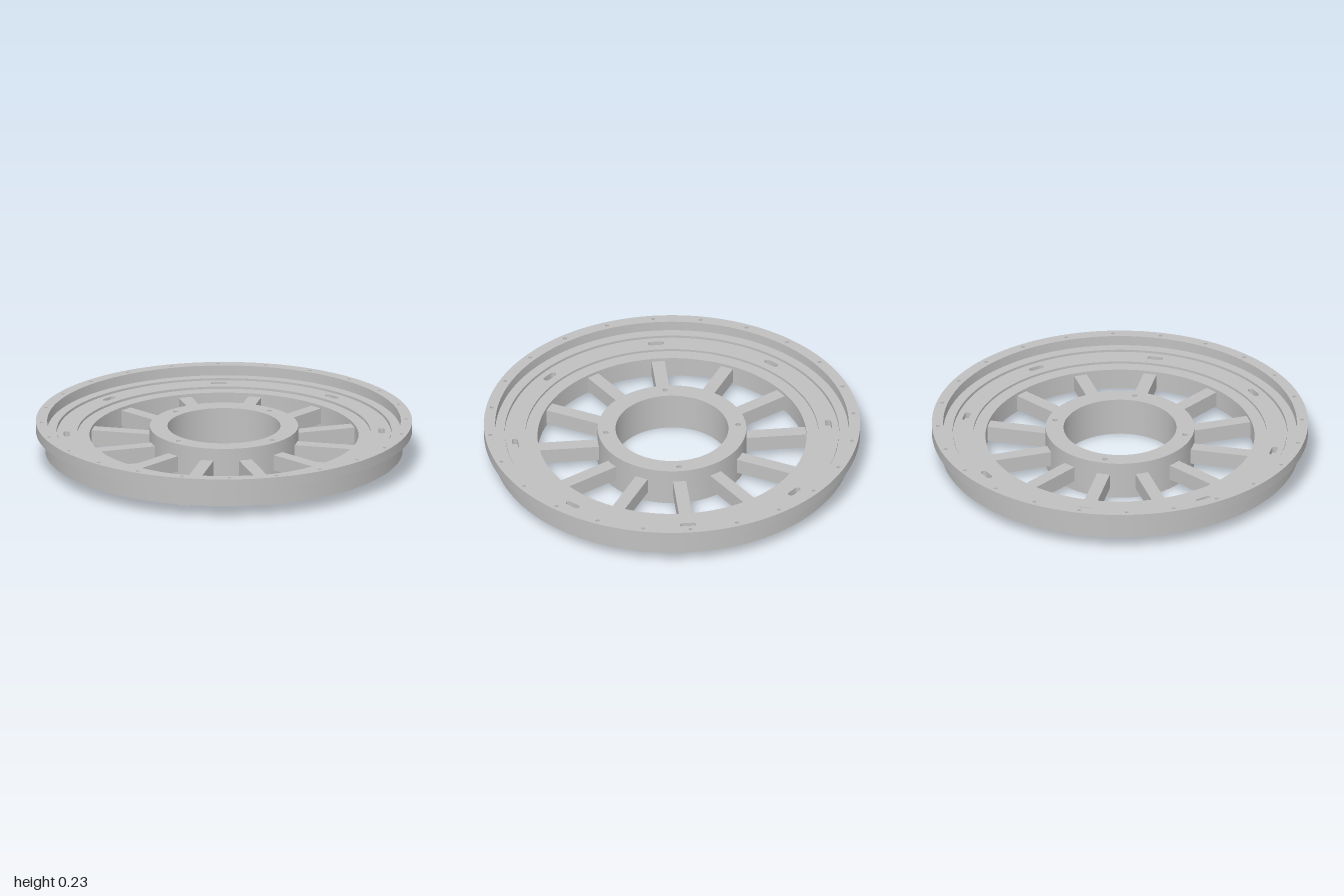
import * as THREE from 'three';
import { toCreasedNormals } from 'three/addons/utils/BufferGeometryUtils.js';

const metal = new THREE.MeshStandardMaterial({ color: 0xc0c0c0 });
metal.name = 'light grey metal';

// Closed outline of a circle
function circle(r, n = 128, cx = 0, cy = 0) {
  return Array.from({ length: n }, (_, i) => {
    const a = (i / n) * Math.PI * 2;
    return new THREE.Vector2(cx + r * Math.cos(a), cy + r * Math.sin(a));
  });
}

// Rounded slot, long side tangential, centred at radius r and angle a
function slot(r, a, halfLength, halfWidth) {
  const pts = [];
  for (const side of [1, -1]) {
    for (let i = 0; i <= 8; i++) {
      const t = (i / 8) * Math.PI + (side < 0 ? Math.PI : 0);
      pts.push(new THREE.Vector2(
        r + halfWidth * Math.cos(t),
        side * (halfLength - halfWidth) + halfWidth * Math.sin(t)
      ).rotateAround(new THREE.Vector2(), a));
    }
  }
  return pts;
}

// Flat ring between two heights, with optional extra openings
function ring(name, inner, outer, y0, y1, openings = []) {
  const shape = new THREE.Shape(circle(outer));
  shape.holes = [circle(inner), ...openings].map((pts) => new THREE.Path(pts));
  let geo = new THREE.ExtrudeGeometry(shape, { depth: y1 - y0, bevelEnabled: false });
  geo.rotateX(-Math.PI / 2);
  geo.translate(0, y0, 0);
  geo = toCreasedNormals(geo, 0.6);
  const mesh = new THREE.Mesh(geo, metal);
  mesh.name = name;
  return mesh;
}

// Round holes evenly spaced on a bolt circle
function boltHoles(count, r, holeRadius) {
  return Array.from({ length: count }, (_, i) => {
    const a = (i / count) * Math.PI * 2;
    return circle(holeRadius, 16, r * Math.cos(a), r * Math.sin(a));
  });
}

export function createModel() {
  const model = new THREE.Group();
  model.name = 'spokedWheelPlate';

  // Outer rim: drilled flange over a plain wall
  model.add(ring('rimFlange', 0.94, 1, 0.18, 0.235, boltHoles(24, 0.97, 0.01)));
  model.add(ring('rimWall', 0.89, 0.95, 0.07, 0.18));
  model.add(ring('grooveFloor', 0.884, 0.891, 0.14, 0.16));

  // Slotted plate and the deeper ring inside it
  const slots = Array.from({ length: 8 }, (_, i) => slot(0.837, (i * Math.PI) / 4, 0.043, 0.016));
  model.add(ring('slottedPlate', 0.78, 0.885, 0.14, 0.17, slots));
  model.add(ring('innerRing', 0.715, 0.78, 0.045, 0.157));

  // Hub with four blind holes in its top
  model.add(ring('hubBase', 0.3, 0.395, 0, 0.14));
  model.add(ring('hubTop', 0.3, 0.395, 0.14, 0.207, boltHoles(4, 0.354, 0.014)));

  // Twelve spokes running under the plate to the rim wall
  const spokes = new THREE.Group();
  spokes.name = 'spokes';
  const spokeGeo = new THREE.BoxGeometry(0.54, 0.085, 0.07);
  spokeGeo.translate(0.65, 0.0975, 0);
  for (let i = 0; i < 12; i++) {
    const spoke = new THREE.Mesh(spokeGeo, metal);
    spoke.name = 'spoke';
    spoke.rotation.y = (i * Math.PI) / 6;
    spokes.add(spoke);
  }
  model.add(spokes);
  return model;
}
